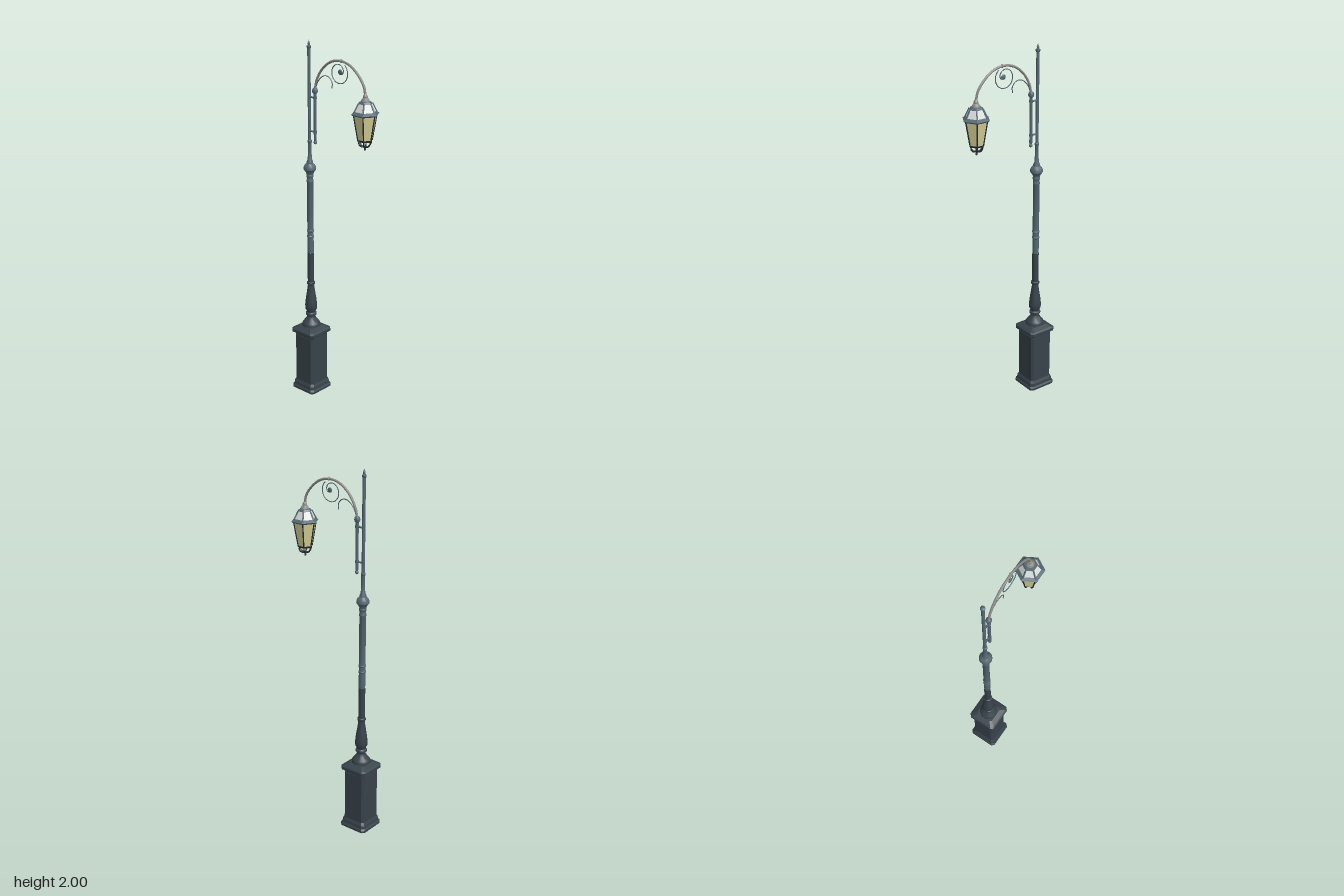
import * as THREE from 'three';
import { toCreasedNormals } from 'three/addons/utils/BufferGeometryUtils.js';

const POST_Z = -0.19, LAMP_Z = 0.197;
const mat = (name, color, side = THREE.FrontSide) => {
  const m = new THREE.MeshStandardMaterial({ color, side });
  m.name = name;
  return m;
};

export function createModel() {
  const darkIron = mat('dark iron', 0x37434a);
  const iron = mat('blue grey iron', 0x566973);
  const steel = mat('arm steel', 0x8d8d8b);
  const black = mat('black iron', 0x252c2f);
  const amber = mat('amber glass', 0xd6d198, THREE.DoubleSide);
  const clear = mat('clear glass', 0xdde1e0, THREE.DoubleSide);

  const model = new THREE.Group();
  model.name = 'streetLamp';

  const add = (parent, name, geometry, material, x = 0, y = 0, z = 0) => {
    const mesh = new THREE.Mesh(geometry, material);
    mesh.name = name;
    mesh.position.set(x, y, z);
    parent.add(mesh);
    return mesh;
  };
  const group = (name, z) => {
    const g = new THREE.Group();
    g.name = name;
    g.position.z = z;
    model.add(g);
    return g;
  };
  // Turned part from [radius, y] pairs, bottom to top
  const turned = (profile, sides = 20) => toCreasedNormals(
    new THREE.LatheGeometry(profile.map(([r, y]) => new THREE.Vector2(r, y)), sides), 0.6);
  const facet = (g) => {
    const f = g.toNonIndexed();
    f.computeVertexNormals();
    return f;
  };
  // Six-sided ring or panel band
  const hex = (rTop, rBottom, yTop, yBottom, open = false) =>
    facet(new THREE.CylinderGeometry(rTop, rBottom, yTop - yBottom, 6, 1, open)
      .translate(0, (yTop + yBottom) / 2, 0));
  const tube = (points, radius, segments = 48, sides = 8) => new THREE.TubeGeometry(
    new THREE.CatmullRomCurve3(points), segments, radius, sides);
  const bar = (a, b, r) => tube([a, a.clone().lerp(b, 0.5), b], r, 2, 6);
  const yz = (z, y) => new THREE.Vector3(0, y, z);
  const polar = (k, r, y) => {
    const a = k * Math.PI / 3;
    return new THREE.Vector3(Math.sin(a) * r, y, Math.cos(a) * r);
  };

  // Square pedestal with chamfered corners, from [y, half width, chamfer] sections
  const loft = (sections) => {
    const rings = sections.map(([y, h, c]) => [
      [c - h, h], [h - c, h], [h, h - c], [h, c - h],
      [h - c, -h], [c - h, -h], [-h, c - h], [-h, h - c],
    ].map(([x, z]) => [x, y, z]));
    const out = [];
    for (let s = 0; s < rings.length - 1; s++) {
      for (let i = 0; i < 8; i++) {
        const j = (i + 1) % 8, lo = rings[s], hi = rings[s + 1];
        out.push(...lo[i], ...lo[j], ...hi[j], ...lo[i], ...hi[j], ...hi[i]);
      }
    }
    const top = rings[rings.length - 1], bottom = rings[0];
    for (let i = 1; i < 7; i++) {
      out.push(...top[0], ...top[i], ...top[i + 1]);
      out.push(...bottom[0], ...bottom[i + 1], ...bottom[i]);
    }
    const g = new THREE.BufferGeometry();
    g.setAttribute('position', new THREE.Float32BufferAttribute(out, 3));
    g.computeVertexNormals();
    return g;
  };

  const post = group('post', POST_Z);
  add(post, 'pedestal', loft([
    [0, 0.083, 0.014], [0.012, 0.083, 0.014], [0.02, 0.077, 0.013], [0.037, 0.075, 0.013],
    [0.052, 0.068, 0.012], [0.336, 0.068, 0.012],
  ]), darkIron);
  add(post, 'pedestalCap', loft([
    [0.332, 0.062, 0.01], [0.343, 0.068, 0.012], [0.353, 0.083, 0.015],
    [0.369, 0.083, 0.015], [0.376, 0.075, 0.014], [0.39, 0.05, 0.01],
  ]), darkIron);

  // Turned column
  add(post, 'lowerColumn', turned([
    [0.051, 0.38], [0.051, 0.403], [0.045, 0.412], [0.032, 0.428], [0.023, 0.442], [0.023, 0.45],
    [0.031, 0.456], [0.031, 0.466], [0.024, 0.472], [0.026, 0.48], [0.033, 0.492], [0.034, 0.515],
    [0.03, 0.55], [0.023, 0.595], [0.018, 0.63], [0.018, 0.638], [0.023, 0.642], [0.023, 0.652],
    [0.018, 0.656], [0.018, 0.83],
  ]), darkIron);
  add(post, 'upperColumn', turned([
    [0.0175, 0.83], [0.0175, 0.918], [0.02, 0.921], [0.02, 0.927], [0.0175, 0.93],
    [0.0175, 0.952], [0.02, 0.955], [0.02, 0.961], [0.0175, 0.964], [0.0175, 1.235],
    [0.019, 1.238], [0.019, 1.246], [0.0175, 1.249], [0.0175, 1.263], [0.02, 1.267],
    [0.02, 1.275], [0.018, 1.28], [0.024, 1.295], [0.034, 1.308], [0.034, 1.32],
    [0.028, 1.332], [0.018, 1.342], [0.018, 1.35], [0.012, 1.362], [0.01, 1.4],
    [0.01, 1.455], [0.012, 1.458], [0.012, 1.468], [0.0085, 1.471], [0.0085, 1.96],
  ]), iron);
  add(post, 'finial', turned([
    [0.008, 1.955], [0.012, 1.961], [0.012, 1.97], [0.005, 1.974],
    [0.007, 1.982], [0.004, 1.99], [0, 2],
  ], 12), iron);

  // Bracket rod clamped to the post
  const arm = group('arm', 0);
  add(arm, 'bracketRod', turned([
    [0, 1.452], [0.008, 1.458], [0.01, 1.466], [0.006, 1.473], [0.008, 1.478], [0.008, 1.725],
    [0.014, 1.73], [0.016, 1.74], [0.013, 1.751], [0.006, 1.757],
  ], 12), iron, 0, 0, -0.149);
  for (const y of [1.52, 1.703]) {
    add(arm, 'bracketArm', bar(yz(-0.149, y), yz(POST_Z, y), 0.005), iron);
    add(arm, 'clamp', new THREE.CylinderGeometry(0.0105, 0.0105, 0.012, 12), iron, 0, y, -0.149);
  }

  // Curved arm with collar
  add(arm, 'curvedArm', tube([
    yz(-0.149, 1.745), yz(-0.135, 1.80), yz(-0.093, 1.865), yz(-0.034, 1.907), yz(0.029, 1.919),
    yz(0.093, 1.904), yz(0.151, 1.86), yz(0.186, 1.812), yz(LAMP_Z, 1.765),
  ], 0.0064), steel);
  const collar = add(arm, 'armCollar', new THREE.SphereGeometry(0.01, 12, 8), steel, 0, 1.919, 0.035);
  collar.scale.z = 0.6;

  // Scrollwork
  const spiral = [];
  for (let i = 0; i <= 24; i++) {
    const t = i / 24, a = 0.7 + t * 7.6, r = 0.058 - 0.012 * t - 0.03 * t ** 5;
    spiral.push(yz(0.021 + r * Math.sin(a), 1.857 + r * Math.cos(a)));
  }
  add(arm, 'spiralScroll', tube(spiral, 0.0025, 64, 6), iron);
  const boss = add(arm, 'scrollBoss', new THREE.SphereGeometry(0.014, 12, 8), iron, 0, 1.862, 0.028);
  boss.scale.x = 0.4;
  add(arm, 'tailScroll', tube([
    yz(-0.147, 1.745), yz(-0.125, 1.795), yz(-0.085, 1.828),
    yz(-0.048, 1.825), yz(-0.027, 1.797), yz(-0.03, 1.77),
  ], 0.0025, 32, 6), iron);

  // Six-sided lantern
  const lamp = group('lantern', LAMP_Z);
  add(lamp, 'lanternCrown', turned([
    [0.022, 1.735], [0.022, 1.743], [0.019, 1.748], [0.017, 1.753],
    [0.012, 1.757], [0.013, 1.764], [0.009, 1.772], [0.006, 1.778],
  ], 12), steel);
  add(lamp, 'roofTopRing', hex(0.03, 0.038, 1.738, 1.728), iron);
  add(lamp, 'roofGlass', hex(0.036, 0.06, 1.73, 1.682, true), clear);
  add(lamp, 'roofRim', hex(0.056, 0.075, 1.689, 1.676), iron);
  add(lamp, 'roofEave', hex(0.075, 0.066, 1.676, 1.668), iron);
  add(lamp, 'sideGlass', hex(0.061, 0.037, 1.668, 1.538, true), amber);
  add(lamp, 'lowerRing', hex(0.039, 0.035, 1.543, 1.533), black);
  for (let k = 0; k < 6; k++) {
    add(lamp, 'roofRib', bar(polar(k, 0.036, 1.731), polar(k, 0.062, 1.682), 0.0042), iron);
    add(lamp, 'sideRib', bar(polar(k, 0.062, 1.67), polar(k, 0.038, 1.537), 0.0035), black);
    add(lamp, 'cageRib', tube([
      polar(k, 0.035, 1.535), polar(k, 0.031, 1.518), polar(k, 0.02, 1.507), polar(k, 0.004, 1.504),
    ], 0.0035, 10, 6), black);
  }
  add(lamp, 'lowerFinial', turned([
    [0, 1.484], [0.005, 1.488], [0.006, 1.494], [0.004, 1.499],
    [0.011, 1.503], [0.011, 1.508], [0, 1.513],
  ], 12), black);

  return model;
}
